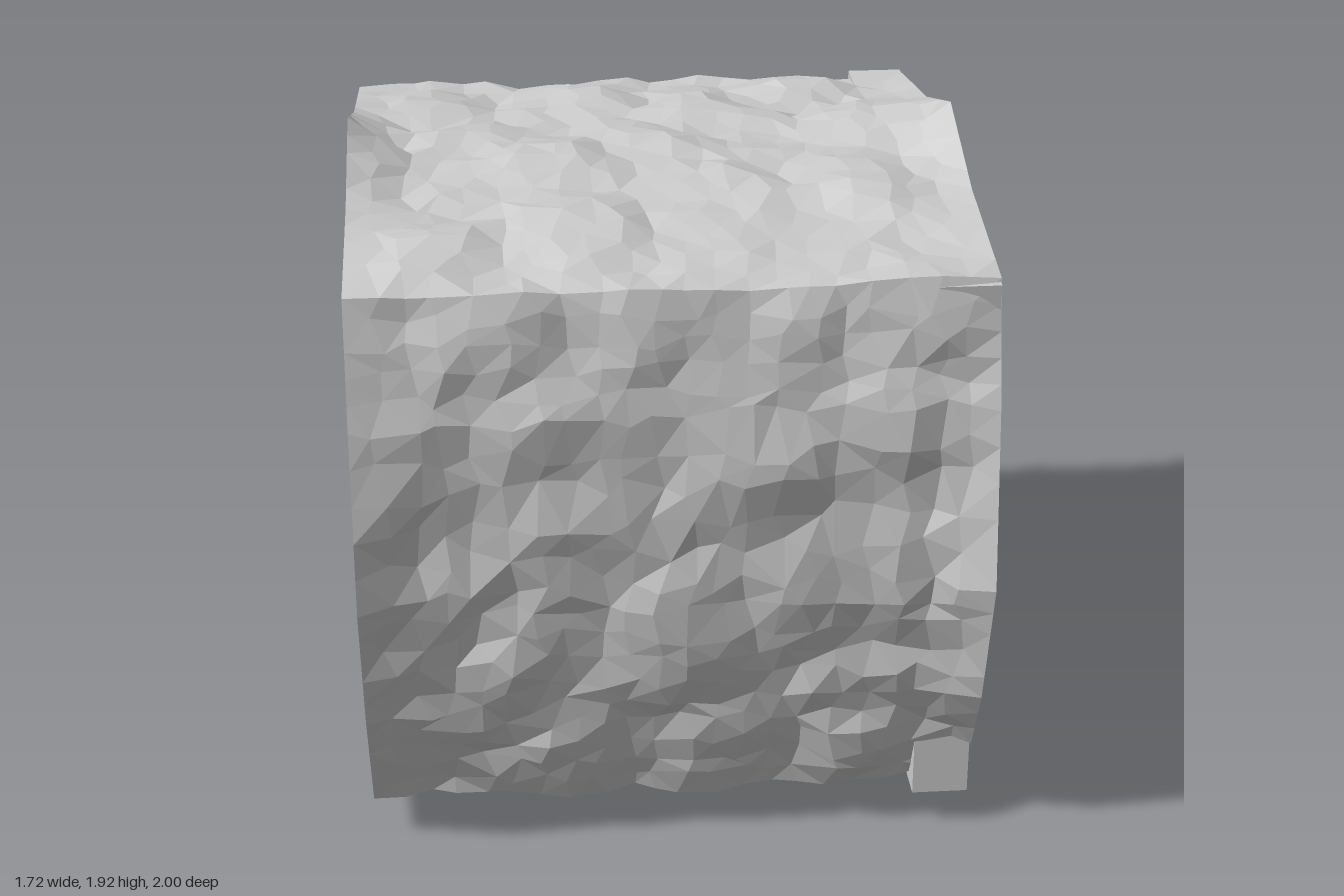
import * as THREE from 'three';

const HALF = 0.86;          // half length of the tunnel along x
const ROWS = 21, SUB = 5;   // rows along x, subdivisions per profile edge

// Section outlines [z, y]: roof centre, front wall, floor centre, back wall
const MIDDLE = [[0, 1.825], [0.4, 1.79], [0.795, 1.74], [0.88, 1.4], [0.9, 0.9], [0.88, 0.5], [0.785, 0.14], [0.4, 0.08],
  [0, 0.04], [-0.4, 0.08], [-0.785, 0.15], [-0.855, 0.5], [-0.88, 0.9], [-0.86, 1.4], [-0.79, 1.73], [-0.4, 1.785]];
const MOUTH = [[0, 1.93], [0.36, 1.81], [0.795, 1.74], [0.9, 1.4], [1, 0.9], [0.92, 0.5], [0.775, 0.14], [0.4, 0.1],
  [0, 0.05], [-0.4, 0.1], [-0.775, 0.15], [-0.9, 0.5], [-1, 0.9], [-0.88, 1.4], [-0.79, 1.73], [-0.36, 1.81]];

// Repeatable pseudo-random value in 0..1 for a lattice point
function hash(x, y, z, k = 0) {
  const s = Math.sin(x * 127.1 + y * 311.7 + z * 74.7 + k * 53.3) * 43758.5453;
  return s - Math.floor(s);
}

// Distances to the two nearest scattered boulder centres
function boulders(x, y, z) {
  const cx = Math.floor(x), cy = Math.floor(y), cz = Math.floor(z);
  let a = 9, b = 9;
  for (let i = cx - 1; i <= cx + 1; i++)
    for (let j = cy - 1; j <= cy + 1; j++)
      for (let k = cz - 1; k <= cz + 1; k++) {
        const d = Math.hypot(i + hash(i, j, k, 1) - x, j + hash(i, j, k, 2) - y, k + hash(i, j, k, 3) - z);
        if (d < a) { b = a; a = d; } else if (d < b) b = d;
      }
  return [a, b];
}

// Rounded stones with sharp seams, plus finer chips
function rockHeight(p) {
  const [a, b] = boulders(p.x * 2.6 + 7, p.y * 2.6, p.z * 2.6 + 3);
  const [c] = boulders(p.x * 6 + 2, p.y * 6 + 5, p.z * 6);
  return 0.06 * (Math.min(b - a, 0.5) - 0.25) + 0.03 * (0.55 - a) + 0.035 * (0.5 - c);
}

// Closed ring of evenly divided outline edges
function ring(outline) {
  return outline.flatMap(([z, y], i) => {
    const [z2, y2] = outline[(i + 1) % outline.length];
    return Array.from({ length: SUB }, (_, s) => [z + (z2 - z) * s / SUB, y + (y2 - y) * s / SUB]);
  });
}

function rockShell() {
  const mid = ring(MIDDLE), mouth = ring(MOUTH), n = mid.length;
  const pos = [], index = [];
  for (let r = 0; r <= ROWS; r++) {
    const end = r === 0 || r === ROWS;
    const x0 = -HALF + 2 * HALF * r / ROWS;
    // The section flares in the last stretch before each mouth
    const flare = Math.max(0, 1 - (HALF - Math.abs(x0)) / 0.15);
    const at = (i) => {
      const a = mid[(i + n) % n], b = mouth[(i + n) % n];
      return [a[0] + (b[0] - a[0]) * flare, a[1] + (b[1] - a[1]) * flare];
    };
    for (let i = 0; i < n; i++) {
      const [z, y] = at(i), [za, ya] = at(i - 1), [zb, yb] = at(i + 1);
      const tz = zb - za, ty = yb - ya, len = Math.hypot(tz, ty);
      // Only the four sharp edges of the section stay in line
      const corner = [2, 6, 10, 14].includes(i / SUB);
      const slide = end || corner ? 0 : (hash(r, i, 4) - 0.5) * 0.35;
      const p = new THREE.Vector3(
        x0 + (end ? 0 : (hash(r, i, 9) - 0.5) * 0.055),
        y + ty * slide, z + tz * slide);
      const h = rockHeight(p) * (1 - flare);
      p.y = Math.max(0, p.y + h * tz / len);
      p.z -= h * ty / len;
      pos.push(p.x, p.y, p.z);
    }
  }
  const point = (i) => new THREE.Vector3().fromArray(pos, i * 3);
  for (let r = 0; r < ROWS; r++)
    for (let i = 0; i < n; i++) {
      const a = r * n + i, b = r * n + (i + 1) % n, c = a + n, d = b + n;
      // Cut each patch along its shorter diagonal
      if (point(b).distanceTo(point(c)) < point(a).distanceTo(point(d))) index.push(a, b, c, b, d, c);
      else index.push(a, b, d, a, d, c);
    }
  const geo = new THREE.BufferGeometry();
  geo.setAttribute('position', new THREE.Float32BufferAttribute(pos, 3));
  geo.setIndex(index);
  geo.computeVertexNormals();
  return geo;
}

export function createModel() {
  const group = new THREE.Group();
  const rock = new THREE.MeshStandardMaterial({ color: 0xcccccc, flatShading: true, side: THREE.DoubleSide });
  const wood = new THREE.MeshStandardMaterial({ color: 0xcccccc, flatShading: true });

  const shell = new THREE.Mesh(rockShell(), rock);
  shell.name = 'rockTunnel';
  group.add(shell);

  // Timber frame at the +x mouth
  const frame = new THREE.Group();
  frame.name = 'timberFrame';
  const beam = new THREE.Mesh(new THREE.BoxGeometry(0.165, 0.16, 1.64), wood);
  beam.name = 'crossBeam';
  beam.position.set(0.775, 1.65, 0);
  frame.add(beam);

  // Posts lean outwards towards the floor
  for (const side of [1, -1]) {
    const geo = new THREE.BoxGeometry(0.16, 1.45, 0.165);
    const p = geo.attributes.position;
    for (let i = 0; i < p.count; i++) p.setZ(i, p.getZ(i) + side * (0.712 - p.getY(i) * 0.067));
    geo.computeVertexNormals();
    const post = new THREE.Mesh(geo, wood);
    post.name = side > 0 ? 'frontPost' : 'backPost';
    post.position.set(0.775, 0.85, 0);
    frame.add(post);
  }
  group.add(frame);
  return group;
}
